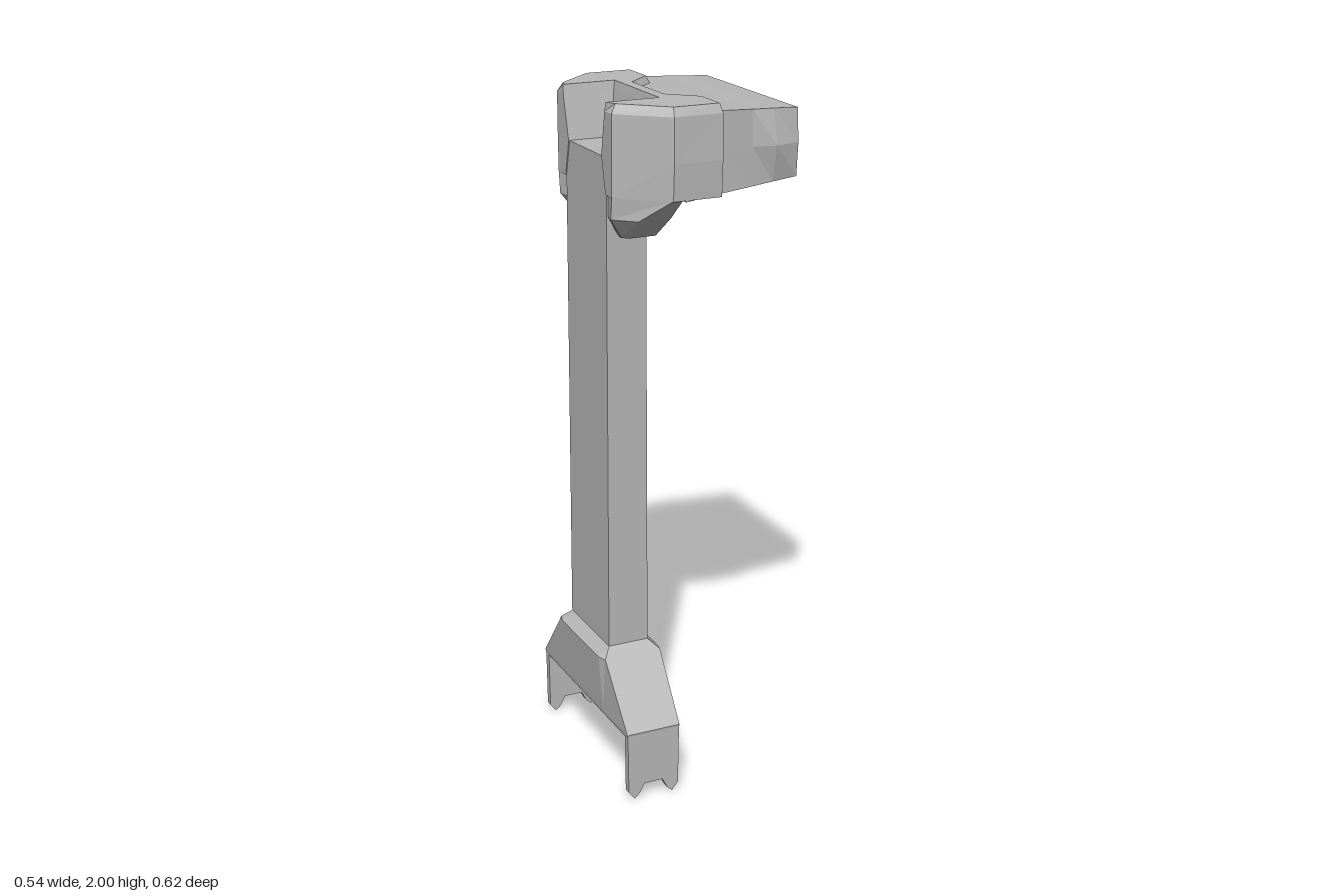
import * as THREE from 'three';

// Closed loft through rings of [x, y, z] points, stacked along +axis ('x' or 'y')
function loft(rings, axis) {
  const flat = (r) => r.map(([x, y, z]) => (axis === 'y' ? new THREE.Vector2(z, x) : new THREE.Vector2(y, z)));
  if (THREE.ShapeUtils.area(flat(rings[0])) < 0) rings = rings.map((r) => [...r].reverse());
  const n = rings[0].length, pos = [];
  const tri = (a, b, c) => pos.push(...a, ...b, ...c);
  for (let k = 0; k < rings.length - 1; k++) {
    for (let i = 0; i < n; i++) {
      const j = (i + 1) % n, a = rings[k], b = rings[k + 1];
      tri(a[i], a[j], b[j]);
      tri(a[i], b[j], b[i]);
    }
  }
  for (const [ring, top] of [[rings[0], false], [rings[rings.length - 1], true]]) {
    const p = flat(ring);
    for (const [a, b, c] of THREE.ShapeUtils.triangulateShape(p, [])) {
      const ccw = THREE.ShapeUtils.area([p[a], p[b], p[c]]) > 0;
      if (ccw === top) tri(ring[a], ring[b], ring[c]);
      else tri(ring[a], ring[c], ring[b]);
    }
  }
  const g = new THREE.BufferGeometry();
  g.setAttribute('position', new THREE.Float32BufferAttribute(pos, 3));
  g.computeVertexNormals();
  return g;
}

// Horizontal ring from its +z half outline of [x, z] points, mirrored to -z
function ring(y, half) {
  return [
    ...half.map(([x, z]) => [x, y, z]),
    ...[...half].reverse().map(([x, z]) => [x, y, -z]),
  ];
}

export function createModel() {
  const group = new THREE.Group();
  const grey = new THREE.MeshStandardMaterial({ color: 0xb8b8b8 });
  grey.name = 'grey';
  grey.flatShading = true;
  const add = (name, geometry) => {
    const mesh = new THREE.Mesh(geometry, grey);
    mesh.name = name;
    group.add(mesh);
    return mesh;
  };

  // Tall column, slightly narrower at the top
  add('column', loft([
    ring(0.4, [[-0.115, 0.137], [-0.238, 0.137]]),
    ring(1.85, [[-0.115, 0.137], [-0.232, 0.137]]),
  ], 'y'));

  // Flared base block
  add('base', loft([
    ring(0.2, [[-0.095, 0.137], [-0.095, 0.308], [-0.257, 0.308], [-0.257, 0.137]]),
    ring(0.212, [[-0.094, 0.137], [-0.094, 0.31], [-0.259, 0.31], [-0.259, 0.137]]),
    ring(0.388, [[-0.083, 0.137], [-0.088, 0.165], [-0.262, 0.165], [-0.272, 0.137]]),
    ring(0.415, [[-0.115, 0.12], [-0.115, 0.137], [-0.238, 0.137], [-0.238, 0.12]]),
  ], 'y'));

  // Toothed side feet
  const foot = new THREE.Shape([
    [-0.257, 0.21], [-0.255, 0.025], [-0.237, 0.002], [-0.222, 0.015], [-0.205, 0.045],
    [-0.148, 0.045], [-0.133, 0.015], [-0.117, 0], [-0.098, 0.025], [-0.095, 0.21],
  ].map(([x, y]) => new THREE.Vector2(x, y)));
  for (const [name, z] of [['footFront', 0.287], ['footBack', -0.309]]) {
    const g = new THREE.ExtrudeGeometry(foot, { depth: 0.022, bevelEnabled: false });
    add(name, g.translate(0, 0, z));
  }

  // Tapered bracket under the head
  add('bracket', loft([
    ring(1.63, [[-0.1, 0.165], [-0.175, 0.165], [-0.195, 0.15], [-0.195, 0.13]]),
    ring(1.69, [[-0.085, 0.229], [-0.18, 0.229], [-0.237, 0.175], [-0.228, 0.136]]),
    ring(1.752, [[-0.08, 0.293], [-0.108, 0.293], [-0.237, 0.183], [-0.228, 0.136]]),
  ], 'y'));

  // Collar with an open recess at the back and a bevelled, notched front
  add('collar', loft([
    ring(1.75, [[-0.035, 0.09], [0.035, 0.165], [0.035, 0.293], [-0.108, 0.293], [-0.237, 0.183], [-0.235, 0.137], [-0.105, 0.112]]),
    ring(1.85, [[-0.035, 0.09], [0.038, 0.165], [0.035, 0.298], [-0.108, 0.298], [-0.237, 0.185], [-0.235, 0.112], [-0.105, 0.112]]),
    ring(1.975, [[-0.035, 0.09], [0.04, 0.165], [0.035, 0.295], [-0.108, 0.297], [-0.237, 0.185], [-0.237, 0.14], [-0.085, 0.14]]),
    ring(2, [[-0.047, 0.1], [0.03, 0.175], [0.03, 0.285], [-0.105, 0.285], [-0.222, 0.177], [-0.235, 0.145], [-0.08, 0.145]]),
  ], 'y'));

  // Head box, with sides that bulge near the outer end
  const section = (x, low, high, edge, mid) => [
    [x, low, edge], [x, 1.875, mid], [x, high, edge],
    [x, high, -edge], [x, 1.875, -mid], [x, low, -edge],
  ];
  add('head', loft([
    section(-0.07, 1.745, 1.982, 0.29, 0.29),
    section(0.035, 1.758, 1.98, 0.288, 0.288),
    section(0.13, 1.767, 1.975, 0.282, 0.283),
    section(0.195, 1.773, 1.972, 0.277, 0.3),
    section(0.27, 1.78, 1.968, 0.273, 0.281),
  ], 'x'));

  return group;
}
